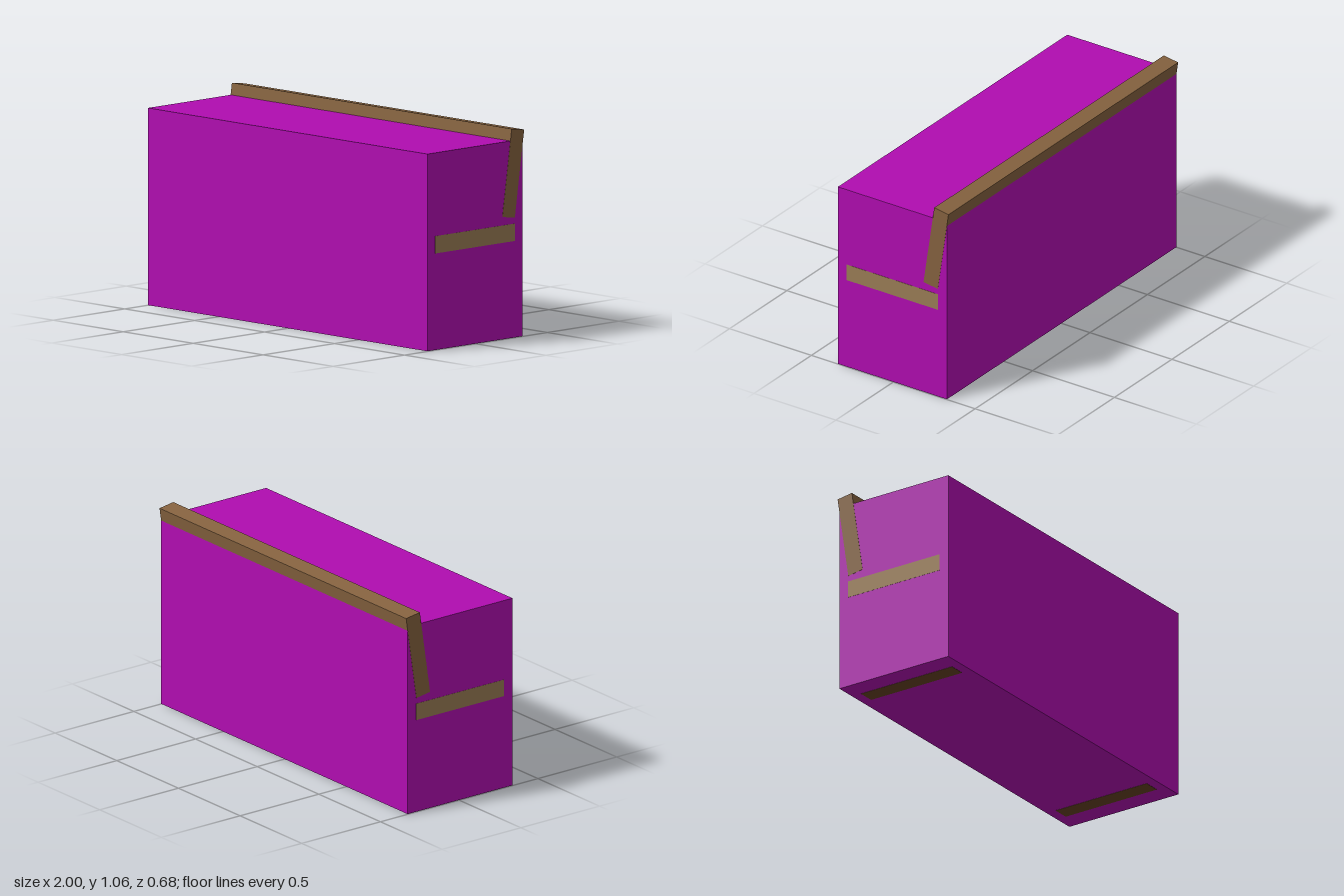
import * as THREE from 'three';

export function createModel() {
  const model = new THREE.Group();

  const addBox = (name, color, [w, h, d], [x, y, z]) => {
    const mesh = new THREE.Mesh(
      new THREE.BoxGeometry(w, h, d),
      new THREE.MeshStandardMaterial({ color })
    );
    mesh.name = name;
    mesh.position.set(x, y, z);
    model.add(mesh);
    return mesh;
  };

  // Solid block enclosing the bench, a hair inside its ends and feet
  addBox('enclosingBlock', 0xb00db0, [1.998, 0.999, 0.666], [0, 0.5005, 0.006]);

  // Seat plank
  addBox('seat', 0x9a7d55, [2, 0.088, 0.557], [0, 0.534, 0.006]);

  // Backrest plank, leaning backwards
  const backrest = addBox('backrest', 0x85623f, [2, 0.444, 0.088], [0, 0.834, -0.261]);
  backrest.rotation.x = -0.147;

  // Slab legs under both ends of the seat
  for (const side of [-1, 1]) {
    addBox(side > 0 ? 'leftLeg' : 'rightLeg', 0x664224,
      [0.088, 0.49, 0.557], [side * 0.845, 0.245, 0.006]);
  }

  return model;
}
